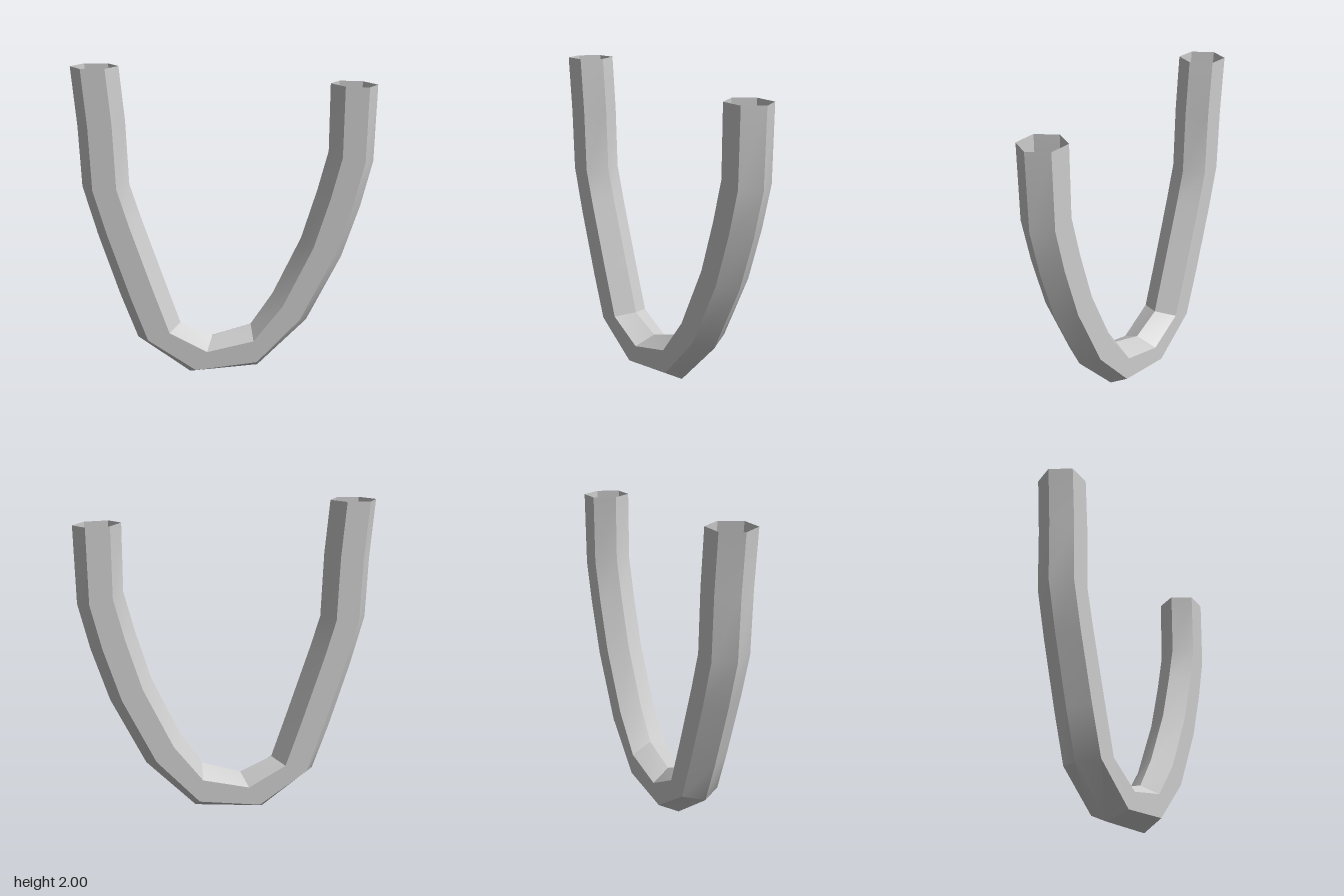
import * as THREE from 'three';
import { toCreasedNormals } from 'three/addons/utils/BufferGeometryUtils.js';

// Cross-sections along the bend: outer x, outer y, inner x, inner y
const SECTIONS = [
  [-0.93, 2.0, -0.64, 2.0],
  [-0.90, 1.64, -0.61, 1.67],
  [-0.885, 1.26, -0.595, 1.27],
  [-0.80, 0.95, -0.53, 1.06],
  [-0.67, 0.54, -0.39, 0.64],
  [-0.565, 0.25, -0.29, 0.345],
  [-0.23, 0.0, -0.085, 0.25],
  [0.21, 0.04, 0.165, 0.33],
  [0.525, 0.355, 0.305, 0.54],
  [0.74, 0.785, 0.48, 0.91],
  [0.85, 1.12, 0.575, 1.22],
  [0.92, 1.405, 0.64, 1.47],
  [0.93, 1.88, 0.64, 1.89],
];
const SIDES = 6;
const HALF_DEPTH = 0.145;

// Hexagonal tube lofted through the sections, open at both ends
function hexTube(sections) {
  const positions = [];
  const indices = [];
  for (const [ox, oy, ix, iy] of sections) {
    for (let k = 0; k < SIDES; k++) {
      const a = (k / SIDES) * Math.PI * 2;
      const t = (1 - Math.cos(a)) / 2; // 0 at the outer ridge, 1 at the inner ridge
      positions.push(ox + (ix - ox) * t, oy + (iy - oy) * t, HALF_DEPTH * Math.sin(a));
    }
  }
  for (let i = 0; i < sections.length - 1; i++) {
    for (let k = 0; k < SIDES; k++) {
      const a = i * SIDES + k;
      const b = i * SIDES + ((k + 1) % SIDES);
      indices.push(a, a + SIDES, b, b, a + SIDES, b + SIDES);
    }
  }
  const geometry = new THREE.BufferGeometry();
  geometry.setAttribute('position', new THREE.Float32BufferAttribute(positions, 3));
  geometry.setIndex(indices);
  // Gentle bends stay smooth, ridges and sharp bends stay crisp
  return toCreasedNormals(geometry, Math.PI / 6);
}

export function createModel() {
  const group = new THREE.Group();
  group.name = 'bentTube';
  const material = new THREE.MeshStandardMaterial({ color: 0xcccccc, side: THREE.DoubleSide });
  const tube = new THREE.Mesh(hexTube(SECTIONS), material);
  tube.name = 'curvedHexTube';
  group.add(tube);
  return group;
}
